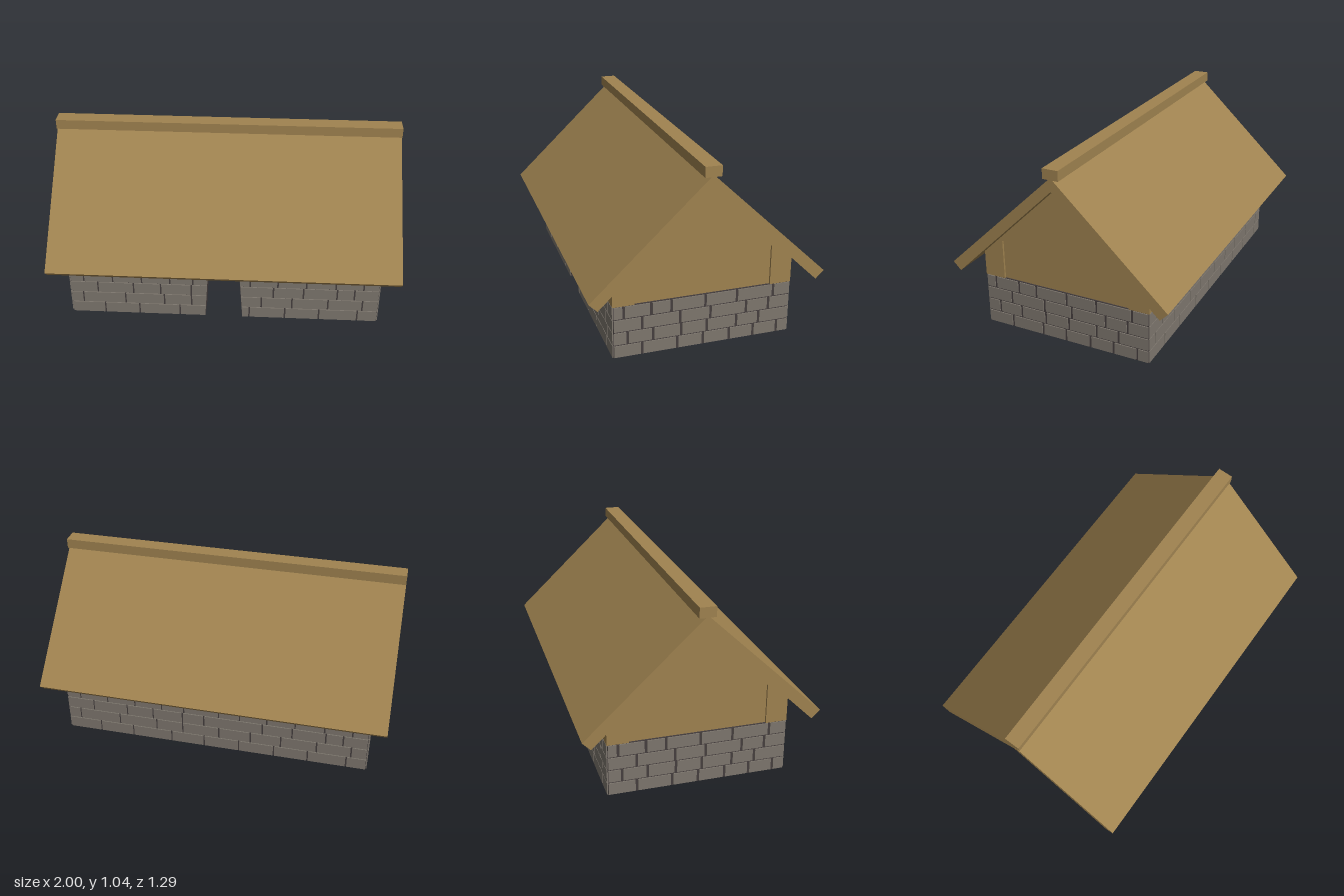
import * as THREE from 'three';

const thatch = new THREE.MeshStandardMaterial({ name: 'straw brown', color: 0xa08350 });
const stone = new THREE.MeshStandardMaterial({ name: 'stone grey', color: 0x7e776e });
const mortar = new THREE.MeshStandardMaterial({ name: 'dark mortar', color: 0x463f3f });

const W = 0.9, D = 0.495, T = 0.12;      // mortar core half sizes and wall thickness
const WALL = 0.3, ROW = WALL / 4, PROUD = 0.006;
const doorEdge = (y) => 0.108 - 0.06 * y;

// Vertical joints per course, bottom to top
const END_JOINTS = [
  [-0.34, -0.145, 0, 0.15, 0.29, 0.43],
  [-0.42, -0.28, -0.125, 0.02, 0.19, 0.32],
  [-0.34, -0.13, 0.04, 0.245, 0.375],
  [-0.44, -0.29, -0.18, 0.01, 0.19, 0.4],
];
const LEFT_JOINTS = [
  [-0.705, -0.5, -0.26],
  [-0.83, -0.58, -0.35, -0.19],
  [-0.74, -0.53, -0.37, -0.19],
  [-0.82, -0.65, -0.48, -0.315, -0.18],
];
const RIGHT_JOINTS = [
  [0.15, 0.36, 0.56, 0.785],
  [0.22, 0.4, 0.61, 0.81],
  [0.29, 0.465, 0.66, 0.76],
  [0.155, 0.315, 0.48, 0.65, 0.81],
];

function extrude(points, depth) {
  const shape = new THREE.Shape(points.map(([x, y]) => new THREE.Vector2(x, y)));
  return new THREE.ExtrudeGeometry(shape, { depth, bevelEnabled: false });
}

function add(parent, name, geometry, material) {
  const mesh = new THREE.Mesh(geometry, material);
  mesh.name = name;
  parent.add(mesh);
  return mesh;
}

// Profile given as [z, y], swept from x0 to x1
function alongX(parent, name, points, x0, x1, material) {
  const geometry = extrude(points, x1 - x0).rotateY(-Math.PI / 2).translate(x1, 0, 0);
  return add(parent, name, geometry, material);
}

function box(parent, name, x0, x1, y0, y1, z0, z1, material) {
  const geometry = new THREE.BoxGeometry(x1 - x0, y1 - y0, z1 - z0);
  geometry.translate((x0 + x1) / 2, (y0 + y1) / 2, (z0 + z1) / 2);
  return add(parent, name, geometry, material);
}

// One course of stones; edges are functions of height so that ends may slant
function course(parent, row, start, joints, end, gapX, gapY, z) {
  const y0 = row * ROW + gapY / 2, y1 = (row + 1) * ROW - gapY / 2;
  const edges = [start, ...joints.map((j) => () => j), end];
  for (let i = 0; i < edges.length - 1; i++) {
    const a = (y) => edges[i](y) + (i ? gapX / 2 : 0.002);
    const b = (y) => edges[i + 1](y) - (i < edges.length - 2 ? gapX / 2 : 0.002);
    const geometry = extrude([[a(y0), y0], [b(y0), y0], [b(y1), y1], [a(y1), y1]], PROUD);
    add(parent, 'wallStone', geometry.translate(0, 0, z), stone);
  }
}

export function createModel() {
  const model = new THREE.Group();
  model.name = 'thatchedCottage';

  // Mortar core of the stone walls, with a tapering doorway
  for (const s of [-1, 1]) {
    const points = [[s * doorEdge(0), 0], [s * W, 0], [s * W, WALL], [s * doorEdge(WALL), WALL]];
    const geometry = extrude(points, T).translate(0, 0, D - T);
    add(model, 'frontMortarWall', geometry, mortar);
    box(model, 'endMortarWall', s < 0 ? -W : W - T, s < 0 ? T - W : W, 0, WALL, T - D, D - T, mortar);
  }
  box(model, 'backMortarWall', -W, W, 0, WALL, -D, T - D, mortar);

  // Stone facing
  const faces = ['front', 'left', 'back', 'right'].map((side, i) => {
    const group = new THREE.Group();
    group.name = side + 'Stones';
    group.rotation.y = i * Math.PI / 2;
    model.add(group);
    return group;
  });
  const minusW = () => -W, plusW = () => W, minusD = () => -D, plusD = () => D;
  for (let r = 0; r < 4; r++) {
    course(faces[0], r, minusW, LEFT_JOINTS[r], (y) => -doorEdge(y), 0.009, 0.005, D);
    course(faces[0], r, doorEdge, RIGHT_JOINTS[r], plusW, 0.009, 0.005, D);
    const middle = r % 2 ? [0.03] : [-0.06];
    course(faces[2], r, minusW, [...LEFT_JOINTS[r], ...middle, ...RIGHT_JOINTS[r]], plusW, 0.009, 0.005, D);
    for (const i of [1, 3]) course(faces[i], r, minusD, END_JOINTS[r], plusD, 0.014, 0.008, W);
  }

  // Upper walls around the hollow room
  const inX = 0.785, outX = 0.905, inZ = 0.38, outZ = 0.5, eave = 0.442, top = 0.53, apex = 0.925;
  const slopeZ = 0.409;
  const side = (s, y) => [[s * outZ, y], [s * inZ, y], [s * inZ, top], [s * slopeZ, top], [s * outZ, eave]];
  alongX(model, 'backUpperWall', side(-1, WALL), -inX, inX, thatch);
  alongX(model, 'frontUpperWall', side(1, WALL), -inX, -0.09, thatch);
  alongX(model, 'frontUpperWall', side(1, WALL), 0.09, inX, thatch);
  alongX(model, 'doorHead', side(1, 0.4), -0.09, 0.09, thatch);
  alongX(model, 'loft', [[-slopeZ, top], [slopeZ, top], [0, apex]], -inX, inX, thatch);

  // Stone door lintel tucked under the eave
  alongX(model, 'doorLintel', [[outZ, 0.4], [0.543, 0.4], [outZ, eave]], -0.11, 0.11, stone);

  // Gables, each with a shallow recessed panel
  const gable = [[-outZ, WALL], [outZ, WALL], [outZ, eave], [0, apex], [-outZ, eave]];
  const frame = [[-outZ, WALL], [-inZ, WALL], [-inZ, top], [inZ, top], [inZ, WALL],
    [outZ, WALL], [outZ, eave], [0, apex], [-outZ, eave]];
  const recess = outX - 0.012;
  alongX(model, 'leftGable', gable, inX, recess, thatch);
  alongX(model, 'leftGableFrame', frame, recess, outX, thatch);
  alongX(model, 'rightGable', gable, -recess, -inX, thatch);
  alongX(model, 'rightGableFrame', frame, -outX, -recess, thatch);

  // Roof slopes and ridge cap
  for (const s of [-1, 1]) {
    alongX(model, s < 0 ? 'backRoof' : 'frontRoof',
      [[0, apex], [s * 0.6, 0.345], [s * 0.645, 0.39], [0, 1.0]], -1, 1, thatch);
  }
  box(model, 'ridgeCap', -1, 1, 0.988, 1.045, -0.045, 0.045, thatch);

  return model;
}
